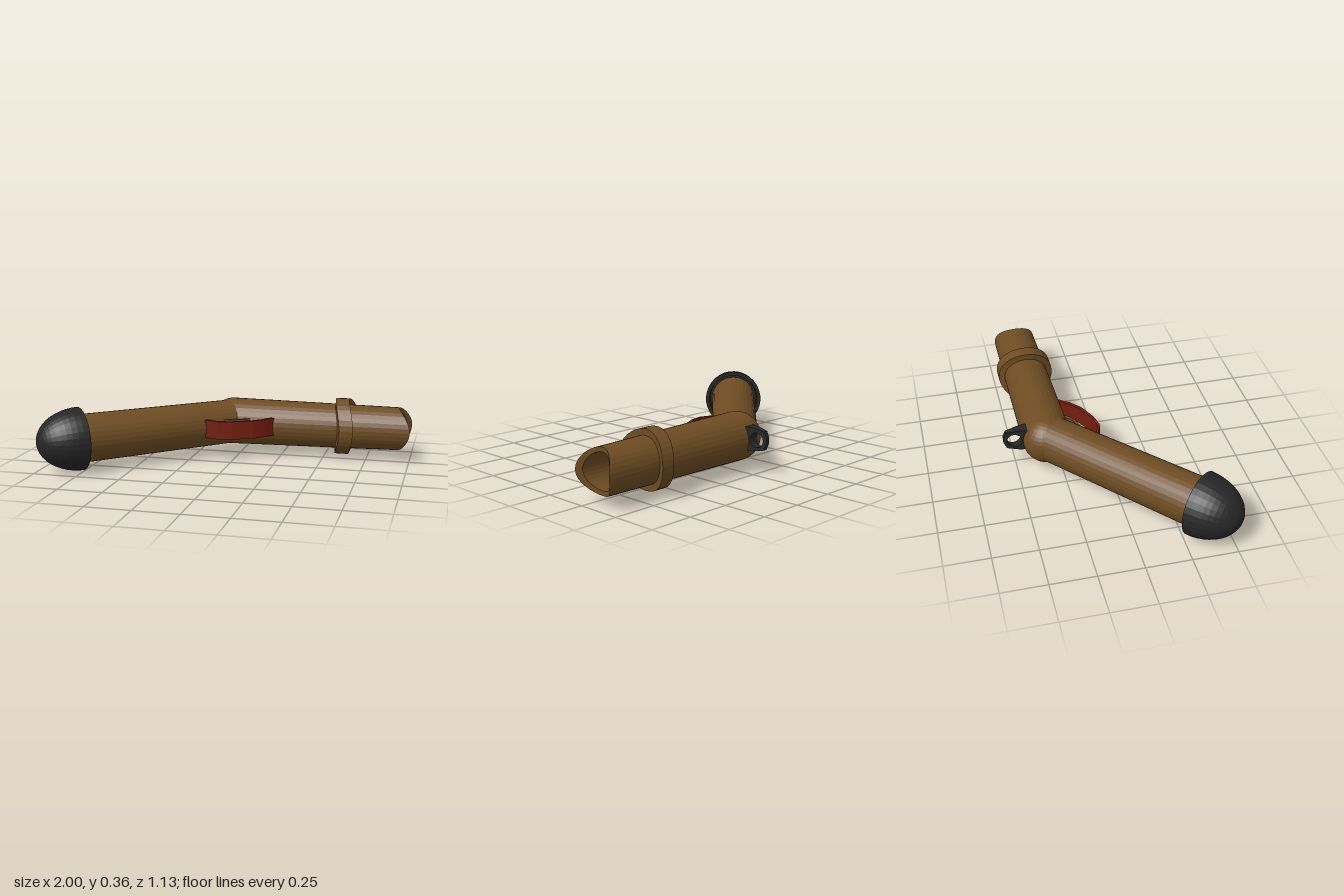
import * as THREE from 'three';

const SIDES = 32;
const AXIS_Y = 0.18;
const mat = (name, color, extra = {}) => {
  const m = new THREE.MeshStandardMaterial({ color, flatShading: true, ...extra });
  m.name = name;
  return m;
};

export function createModel() {
  const group = new THREE.Group();
  const wood = mat('brown wood', 0x6e4c23);
  const black = mat('black metal', 0x262626);
  const red = mat('dark red', 0x741d0e);

  const add = (name, geometry, material) => {
    const mesh = new THREE.Mesh(geometry, material);
    mesh.name = name;
    group.add(mesh);
    return mesh;
  };

  // Turned part whose axis starts at (x, z) and points along (dx, dz)
  const turned = (name, points, material, [x, z], [dx, dz], bend) => {
    const g = new THREE.LatheGeometry(points.map(p => new THREE.Vector2(...p)), SIDES);
    if (bend) {
      const p = g.attributes.position;
      for (let i = 0; i < p.count; i++) p.setY(i, p.getY(i) + bend(p.getY(i), p.getZ(i)));
      g.computeVertexNormals();
    }
    const mesh = add(name, g, material);
    mesh.position.set(x, AXIS_Y, z);
    mesh.quaternion.setFromUnitVectors(new THREE.Vector3(0, 1, 0), new THREE.Vector3(dx, 0, dz).normalize());
    return mesh;
  };

  // Barrel: tapered hollow tube with a saddle-cut muzzle
  const barrelStart = [-0.055, -0.321];
  const barrelDir = [1, -0.011];
  turned('barrel', [[0.138, 0], [0.125, 0.985], [0.099, 0.985], [0.099, 0.45]], wood, barrelStart, barrelDir,
    (t, z) => (t > 0.9 ? 0.07 * (z / 0.125) ** 2 : 0));
  turned('boreEnd', [[0.1, 0.46], [0, 0.46]], black, barrelStart, barrelDir);

  // Raised band following the same saddle curve
  turned('barrelBand', [[0.12, 0.615], [0.164, 0.615], [0.164, 0.695], [0.12, 0.695]], wood, barrelStart, barrelDir,
    (t, z) => 0.04 * (z / 0.164) ** 2);

  // Rounded elbow
  const elbow = add('elbow', new THREE.SphereGeometry(0.138, SIDES, 20), wood);
  elbow.position.set(-0.058, AXIS_Y, -0.321);

  // Grip and its domed end cap
  const capCentre = [-0.78, 0.345];
  const gripDir = [-0.741, 0.671];
  const gripLength = 0.95;
  turned('grip', [[0.13, 0], [0.137, gripLength + 0.06]], wood,
    [capCentre[0] - gripDir[0] * gripLength, capCentre[1] - gripDir[1] * gripLength], gripDir);
  const dome = [[0.12, 0.04], [0.15, 0.04], [0.155, 0]];
  for (let i = 0; i <= 12; i++) {
    const a = (i / 12) * Math.PI / 2;
    dome.push([Math.max(0, 0.178 * Math.cos(a)), 0.25 * Math.sin(a)]);
  }
  turned('endCap', dome, black, capCentre, gripDir);

  // Flat straps: a plan outline in x and z, extruded between two heights
  const strap = (name, outline, bottom, top, material) => {
    const shape = new THREE.Shape(outline.map(p => new THREE.Vector2(...p)));
    const g = new THREE.ExtrudeGeometry(shape, { depth: top - bottom, bevelEnabled: false });
    g.rotateX(Math.PI / 2).translate(0, top, 0);
    return add(name, g, material);
  };
  strap('triggerGuard', [
    [0.215, -0.2], [0.17, -0.14], [0.11, -0.085], [0, -0.035], [-0.08, -0.018], [-0.17, -0.05], [-0.2, -0.07],
    [-0.17, -0.065], [-0.08, -0.034], [0, -0.051], [0.1, -0.1], [0.155, -0.15], [0.195, -0.2],
  ], 0.13, 0.235, red);
  strap('trigger', [
    [0.075, -0.2], [0.04, -0.16], [0, -0.138], [-0.045, -0.128], [-0.1, -0.132],
    [-0.045, -0.142], [0, -0.155], [0.025, -0.17], [0.045, -0.2],
  ], 0.14, 0.225, wood);

  // Pierced rear lug, narrowing towards its tip
  const lugShape = new THREE.Shape([
    [0.43, 0.13], [0.48, 0.13], [0.548, 0.142], [0.567, 0.18],
    [0.567, 0.215], [0.552, 0.247], [0.48, 0.26], [0.43, 0.26],
  ].map(p => new THREE.Vector2(...p)));
  lugShape.holes.push(new THREE.Path().absarc(0.504, 0.193, 0.041, 0, Math.PI * 2, true));
  const lug = new THREE.ExtrudeGeometry(lugShape, { depth: 2, bevelEnabled: false, curveSegments: 8 });
  lug.translate(0, 0, -1).rotateY(Math.PI / 2);
  const p = lug.attributes.position;
  for (let i = 0; i < p.count; i++) {
    const t = (-p.getZ(i) - 0.44) / 0.127;
    p.setX(i, -0.038 + p.getX(i) * (0.033 - 0.023 * t));
  }
  lug.computeVertexNormals();
  add('rearLug', lug, black);

  return group;
}
